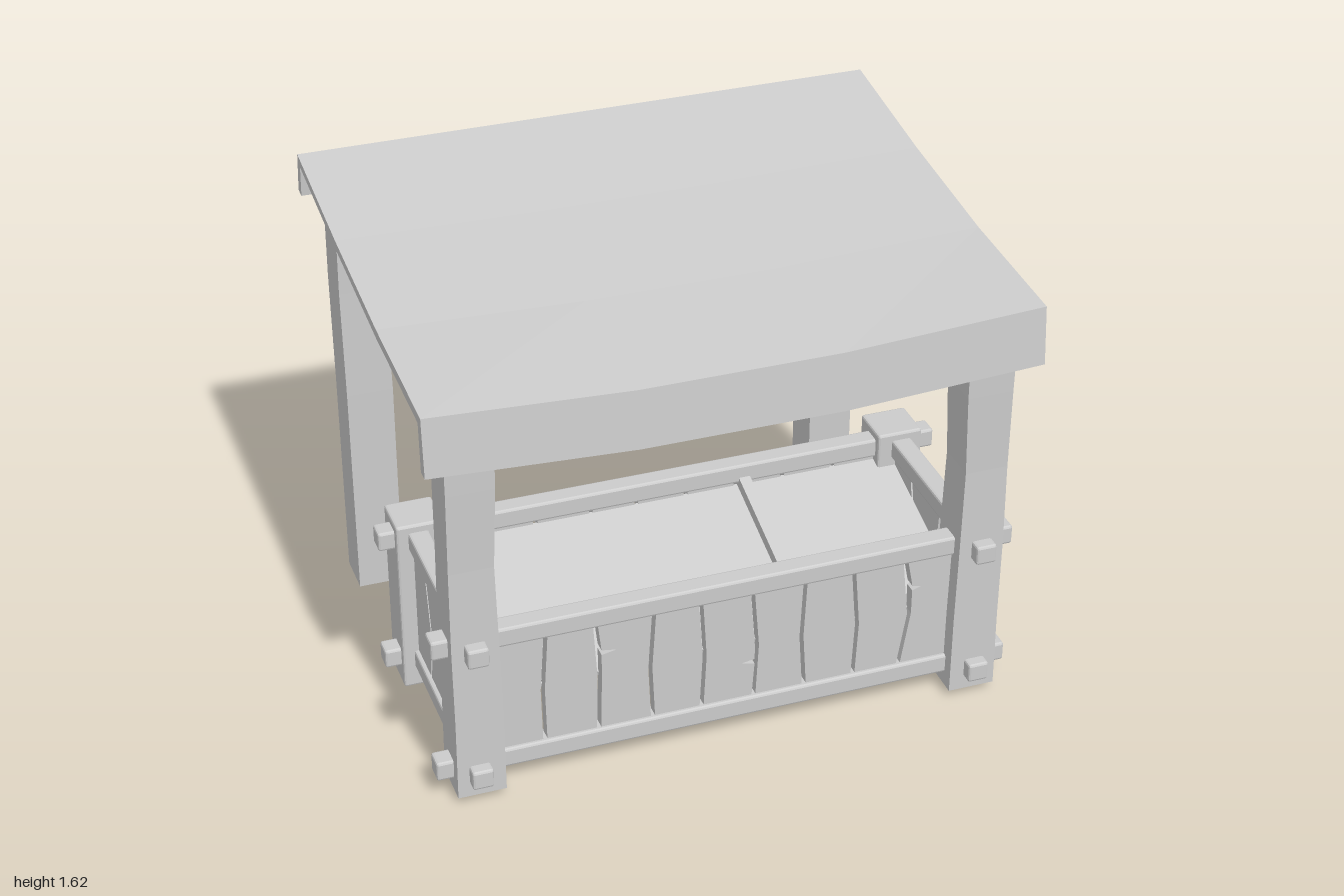
import * as THREE from 'three';
import { RoundedBoxGeometry } from 'three/addons/geometries/RoundedBoxGeometry.js';

const material = new THREE.MeshStandardMaterial({ color: 0xcccccc, flatShading: true, side: THREE.DoubleSide });

function part(name, geometry, x = 0, y = 0, z = 0) {
  const mesh = new THREE.Mesh(geometry, material);
  mesh.name = name;
  mesh.position.set(x, y, z);
  return mesh;
}

// Beam with slightly worn edges
const beam = (name, w, h, d, x, y, z) => part(name, new RoundedBoxGeometry(w, h, d, 1, 0.008), x, y, z);

// Hand-hewn post: width and sideways drift vary with height
function post(name, side, z, bottom, top, widths, drift) {
  const n = widths.length - 1, h = top - bottom;
  const geo = new THREE.BoxGeometry(0.16, h, 0.16, 1, n, 1);
  const p = geo.attributes.position;
  for (let i = 0; i < p.count; i++) {
    const k = Math.round((p.getY(i) / h + 0.5) * n);
    p.setX(i, p.getX(i) * widths[k] + side * drift[k]);
    p.setZ(i, p.getZ(i) * widths[k]);
  }
  return part(name, geo, side * 0.85, bottom + h / 2, z);
}

// Row of planks split by crooked gaps; each gap is [bottom, middle, top, split height, split length]
function plankPanel(name, start, end, gaps) {
  const group = new THREE.Group();
  group.name = name;
  const low = 0.12, high = 0.58, half = 0.007;
  const edge = ([b, m, t, splitY, split = 0], side) => {
    const pts = [[b, low], [m, 0.34], [t, high]].map(([x, y]) => new THREE.Vector2(x + side * half, y));
    if (split * side > 0) { // short split running into the plank
      const x = m + side * half, at = splitY > 0.34 ? 2 : 1;
      pts.splice(at, 0, new THREE.Vector2(x, splitY - 0.01),
        new THREE.Vector2(x + split, splitY), new THREE.Vector2(x, splitY + 0.008));
    }
    return pts;
  };
  const all = [[start, start, start], ...gaps, [end, end, end]];
  for (let i = 0; i < all.length - 1; i++) {
    const outline = [...edge(all[i + 1], -1), ...edge(all[i], 1).reverse()];
    const geo = new THREE.ExtrudeGeometry(new THREE.Shape(outline), { depth: 0.04, bevelEnabled: false });
    group.add(part('plank', geo, 0, 0, -0.02));
  }
  return group;
}

// Roof sheet with hanging front and back flaps, sagging toward the front
function roofGeometry() {
  const profile = [
    [0.77, 1.28], [0.752, 1.477], [0.25, 1.504], [-0.25, 1.558], [-0.745, 1.63], [-0.765, 1.49],
    [-0.725, 1.487], [-0.715, 1.597], [-0.25, 1.528], [0.25, 1.472], [0.718, 1.445], [0.728, 1.28],
  ];
  const shape = new THREE.Shape(profile.map(([z, y]) => new THREE.Vector2(-z, y)));
  const geo = new THREE.ExtrudeGeometry(shape, { depth: 2, steps: 3, bevelEnabled: false });
  geo.rotateY(Math.PI / 2).translate(-1, 0, 0);
  const p = geo.attributes.position;
  for (let i = 0; i < p.count; i++) {
    if (Math.abs(p.getX(i)) < 0.5) {
      const t = THREE.MathUtils.clamp((p.getZ(i) + 0.72) / 1.44, 0, 1);
      p.setY(i, p.getY(i) - 0.035 * t);
    }
  }
  return geo;
}

export function createModel() {
  const model = new THREE.Group();
  model.name = 'marketStall';

  model.add(part('roof', roofGeometry()));

  // Posts
  for (const s of [1, -1]) {
    model.add(post('frontPost', s, 0.635, 0.03, 1.45,
      [1, 0.98, 0.96, 0.91, 0.97, 1], [0, 0, 0.004, 0.006, 0, 0]));
    model.add(post('backPost', s, -0.63, 0.015, 1.585,
      [0.98, 0.99, 1, 0.97, 1], [0, 0, 0, 0.006, 0]));
    model.add(beam('shortPost', 0.16, 0.64, 0.155, s * 0.85, 0.325, -0.017));
  }

  // Rails with ends poking through the posts
  for (const y of [0.113, 0.583]) {
    for (const z of [0.637, 0]) model.add(beam('longRail', 1.97, 0.068, 0.07, 0, y, z));
    for (const x of [0.855, -0.855]) model.add(beam('sideRail', 0.07, 0.068, 0.875, x, y, 0.318));
  }

  // Plank panels around the box
  const longGaps = [
    [-0.62, -0.625, -0.61], [-0.44, -0.435, -0.45, 0.44, 0.05], [-0.255, -0.265, -0.25],
    [-0.09, -0.08, -0.095], [0.09, 0.1, 0.08, 0.28, -0.045], [0.27, 0.255, 0.265],
    [0.44, 0.45, 0.43], [0.6, 0.635, 0.61, 0.44, 0.03],
  ];
  const sideGaps = [[-0.435, -0.415, -0.44], [-0.21, -0.245, -0.19, 0.295, -0.055]];
  for (const z of [0.637, 0]) {
    const panel = plankPanel(z ? 'frontPanel' : 'backPanel', -0.8, 0.8, longGaps);
    panel.position.z = z;
    model.add(panel);
  }
  for (const s of [1, -1]) {
    const panel = plankPanel('sidePanel', -0.6, -0.02, sideGaps);
    panel.rotation.y = Math.PI / 2;
    panel.position.x = s * 0.855;
    model.add(panel);
  }

  // Display shelf sloping down to the front, with a divider
  const shelf = new THREE.Group();
  shelf.name = 'displayShelf';
  shelf.add(part('shelfBoard', new THREE.BoxGeometry(1.68, 0.02, 0.64)));
  shelf.add(part('shelfDivider', new THREE.BoxGeometry(0.04, 0.05, 0.63), 0.29, 0.025, 0));
  shelf.position.set(0, 0.43, 0.318);
  shelf.rotation.x = 0.3;
  model.add(shelf);

  return model;
}
